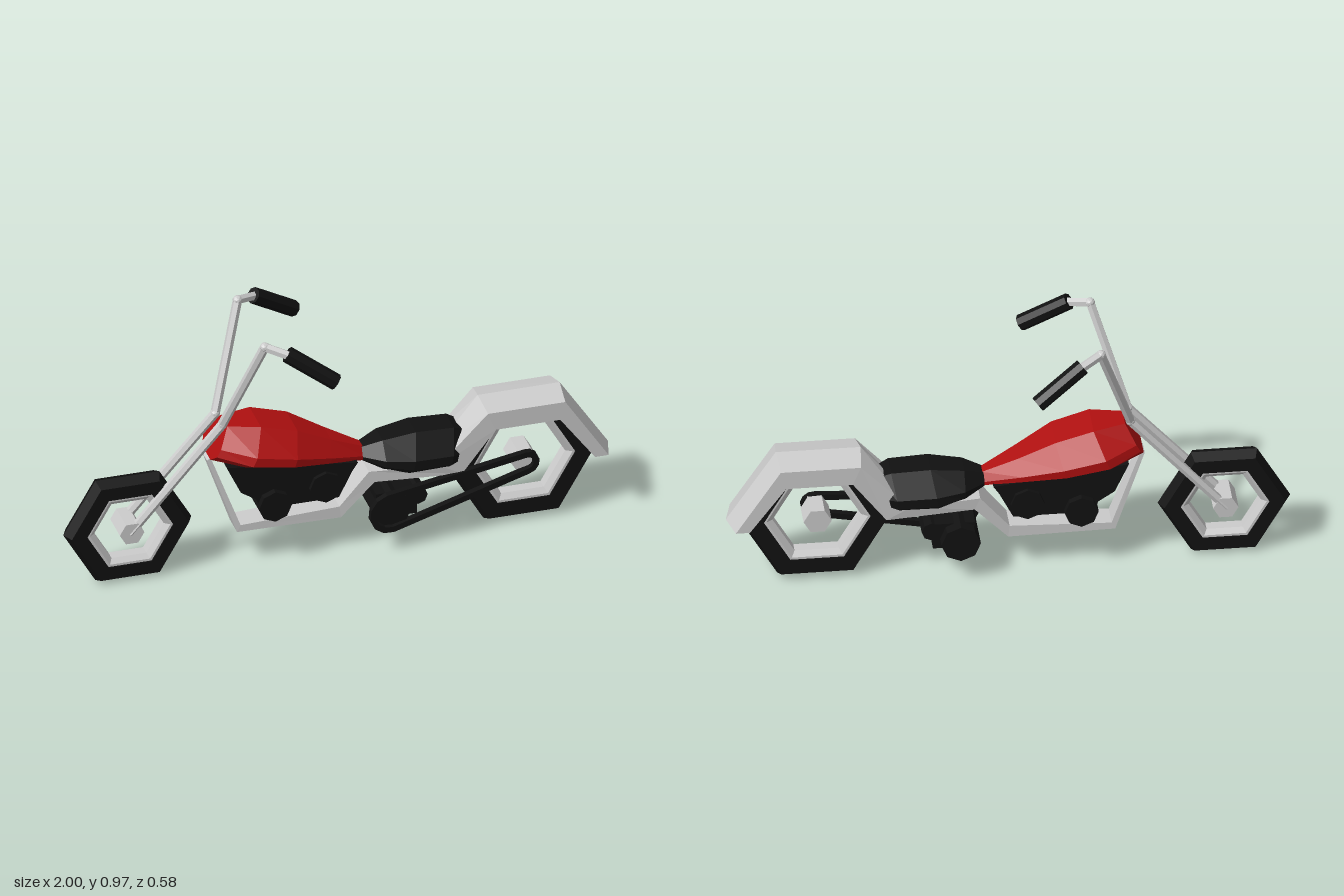
import * as THREE from 'three';

const mat = (color) => new THREE.MeshStandardMaterial({ color, flatShading: true });
const grey = mat(0xcccccc), red = mat(0xb01010), black = mat(0x111111);
const V = (x, y, z) => new THREE.Vector3(x, y, z);

function add(parent, name, geometry, material) {
  const mesh = new THREE.Mesh(geometry, material);
  mesh.name = name;
  parent.add(mesh);
  return mesh;
}

// Skin over rings of [x, y, z] that advance along +x; each ring runs top, +z, bottom, -z
function loft(rings) {
  const pos = [], n = rings[0].length;
  const tri = (a, b, c) => pos.push(...a, ...b, ...c);
  for (let s = 0; s < rings.length - 1; s++) {
    const a = rings[s], b = rings[s + 1];
    for (let i = 0; i < n; i++) {
      const j = (i + 1) % n;
      tri(a[i], a[j], b[j]);
      tri(a[i], b[j], b[i]);
    }
  }
  const first = rings[0], last = rings[rings.length - 1];
  for (let i = 1; i < n - 1; i++) {
    tri(first[0], first[i + 1], first[i]);
    tri(last[0], last[i], last[i + 1]);
  }
  const g = new THREE.BufferGeometry();
  g.setAttribute('position', new THREE.Float32BufferAttribute(pos, 3));
  g.computeVertexNormals();
  return g;
}

// Eight-sided body section: leaning from (xTop, yTop) to (xBot, yBot), half width w
function bodyRing([xTop, yTop, xBot, yBot, w]) {
  const p = (t, k) => [xTop + (xBot - xTop) * t, yTop + (yBot - yTop) * t, w * k];
  return [p(0, -0.48), p(0, 0.48), p(0.55, 1), p(0.78, 1), p(1, 0.6), p(1, -0.6), p(0.78, -1), p(0.55, -1)];
}

// Frame section between an upper and a lower point, with an optional ridge
function frameRing([ux, uy, lx, ly, w, ridge]) {
  const d = Math.hypot(ux - lx, uy - ly);
  const rx = ux + (ux - lx) / d * ridge, ry = uy + (uy - ly) / d * ridge;
  return [[rx, ry, 0], [ux, uy, w], [lx, ly, w], [lx, ly, -w], [ux, uy, -w]];
}

// Straight round bar between two points
function bar(a, b, r, sides) {
  const d = b.clone().sub(a);
  const g = new THREE.CylinderGeometry(r, r, d.length(), sides);
  g.applyQuaternion(new THREE.Quaternion().setFromUnitVectors(V(0, 1, 0), d.normalize()));
  return g.translate((a.x + b.x) / 2, (a.y + b.y) / 2, (a.z + b.z) / 2);
}

// Hexagonal ring about the z axis from a closed (radius, offset) profile
function hexRing(profile) {
  const points = profile.map(([r, z]) => new THREE.Vector2(r, z));
  return new THREE.LatheGeometry(points, 6, Math.PI / 2).rotateX(Math.PI / 2);
}

function wheel(parent, name, x, y, R, rimOuter, rimInner, hub, hubHalf) {
  const g = new THREE.Group();
  g.name = name;
  g.position.set(x, y, 0);
  parent.add(g);
  const w = 0.04, shoulder = R - 0.02;
  add(g, 'tyre', hexRing([[rimOuter, -w], [shoulder, -w], [R, 0], [shoulder, w], [rimOuter, w], [rimOuter, -w]]), black);
  const o = rimOuter + 0.002;
  add(g, 'rim', hexRing([[rimInner, -0.02], [o - 0.012, -0.035], [o, -0.035], [o, 0.035], [o - 0.012, 0.035], [rimInner, 0.02], [rimInner, -0.02]]), grey);
  add(g, 'hub', bar(V(0, 0, -hubHalf), V(0, 0, hubHalf), hub, 6).rotateZ(Math.PI / 6), grey);
}

export function createModel() {
  const bike = new THREE.Group();
  bike.name = 'motorcycle';

  wheel(bike, 'frontWheel', -0.765, 0.21, 0.235, 0.158, 0.128, 0.045, 0.06);
  wheel(bike, 'rearWheel', 0.68, 0.255, 0.275, 0.19, 0.157, 0.05, 0.05);

  // Fork legs, handlebars and grips
  for (const s of [-1, 1]) {
    const side = new THREE.Group();
    side.name = s > 0 ? 'leftFork' : 'rightFork';
    bike.add(side);
    const path = [V(-0.77, 0.205, s * 0.046), V(-0.43, 0.59, s * 0.042), V(-0.31, 0.962, s * 0.168), V(-0.235, 0.94, s * 0.213)];
    ['forkLeg', 'handlebar', 'barEnd'].forEach((name, i) => {
      add(side, name, bar(path[i], path[i + 1], 0.017, 6), grey);
    });
    for (const p of [path[1], path[2]]) {
      add(side, 'barJoint', new THREE.IcosahedronGeometry(0.018, 1).translate(p.x, p.y, p.z), grey);
    }
    add(side, 'grip', bar(V(-0.24, 0.945, s * 0.21), V(-0.075, 0.832, s * 0.262), 0.03, 8), black);
  }

  // Fuel tank
  add(bike, 'fuelTank', loft([
    [-0.41, 0.58, -0.475, 0.46, 0.085],
    [-0.295, 0.575, -0.36, 0.432, 0.15],
    [-0.16, 0.535, -0.2, 0.405, 0.145],
    [-0.03, 0.463, -0.05, 0.377, 0.095],
    [0.095, 0.4, 0.095, 0.345, 0.04],
  ].map(bodyRing)), red);

  // Seat
  add(bike, 'seat', loft([
    [0.085, 0.398, 0.09, 0.347, 0.045],
    [0.16, 0.425, 0.16, 0.315, 0.09],
    [0.28, 0.443, 0.25, 0.287, 0.108],
    [0.42, 0.437, 0.39, 0.285, 0.104],
    [0.465, 0.417, 0.425, 0.29, 0.08],
  ].map(bodyRing)), black);

  // Down tube, cradle and rear fender in one continuous skin
  add(bike, 'frameAndFender', loft([
    [-0.468, 0.455, -0.481, 0.445, 0.03, 0],
    [-0.362, 0.168, -0.375, 0.142, 0.045, 0],
    [0, 0.185, 0.005, 0.14, 0.05, 0],
    [0.105, 0.315, 0.125, 0.27, 0.06, 0],
    [0.355, 0.312, 0.44, 0.265, 0.085, 0.005],
    [0.532, 0.5, 0.56, 0.43, 0.095, 0.027],
    [0.816, 0.5, 0.797, 0.43, 0.095, 0.027],
    [0.975, 0.255, 0.925, 0.255, 0.095, 0.025],
  ].map(frameRing)), grey);

  // Engine block under the tank
  const block = new THREE.Shape([
    [-0.42, 0.43], [-0.37, 0.32], [-0.31, 0.28], [-0.3, 0.24], [-0.19, 0.24],
    [-0.01, 0.24], [0.04, 0.34], [0.06, 0.37],
  ].map(([x, y]) => new THREE.Vector2(x, y)));
  add(bike, 'engineBlock', new THREE.ExtrudeGeometry(block, { depth: 0.15, bevelEnabled: false }).translate(0, 0, -0.075), black);
  add(bike, 'crankCase', bar(V(-0.25, 0.255, -0.1), V(-0.25, 0.255, 0.1), 0.06, 8), black);
  add(bike, 'rearCylinder', bar(V(-0.06, 0.295, -0.09), V(-0.06, 0.295, 0.09), 0.06, 8), black);

  // Gearbox
  add(bike, 'gearbox', bar(V(0.18, 0.168, -0.123), V(0.18, 0.168, 0.1), 0.07, 8).rotateZ(0), black);
  add(bike, 'gearboxCase', new THREE.BoxGeometry(0.15, 0.1, 0.16).translate(0.2, 0.18, 0), black);
  add(bike, 'gearboxShaft', bar(V(0.28, 0.2, -0.08), V(0.28, 0.2, 0.08), 0.035, 8), black);

  // Drive belt: a loop around both pulleys, skewed inwards towards the rear wheel
  const loop = (shape, inset) => {
    const front = [0.168, 0.165, 0.078 - inset], rear = [0.685, 0.258, 0.045 - inset];
    const tilt = Math.atan2(rear[1] - front[1], rear[0] - front[0]);
    const points = [];
    for (const [c, start] of [[rear, -Math.PI / 2], [front, Math.PI / 2]]) {
      for (let i = 0; i <= 6; i++) {
        const a = tilt + start + i * Math.PI / 6;
        points.push(new THREE.Vector2(c[0] + c[2] * Math.cos(a), c[1] + c[2] * Math.sin(a)));
      }
    }
    return shape.setFromPoints(points);
  };
  const beltShape = loop(new THREE.Shape(), 0);
  beltShape.holes.push(loop(new THREE.Path(), 0.022));
  const belt = new THREE.ExtrudeGeometry(beltShape, { depth: 0.024, bevelEnabled: false });
  const p = belt.attributes.position;
  for (let i = 0; i < p.count; i++) p.setZ(i, p.getZ(i) + 0.1 - (p.getX(i) - 0.1) * 0.09);
  add(bike, 'driveBelt', belt, black);

  return bike;
}
